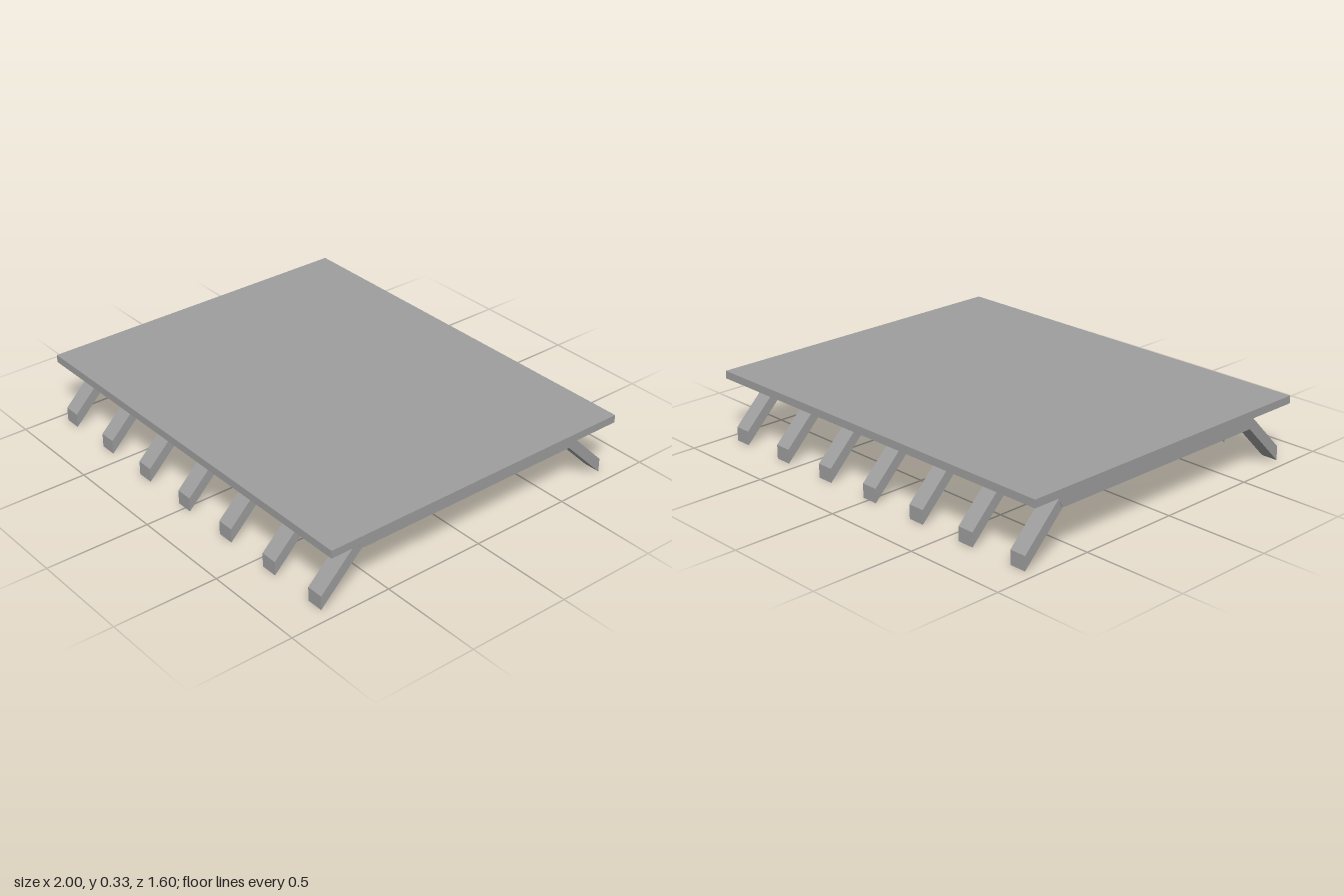
import * as THREE from 'three';

const material = new THREE.MeshStandardMaterial({ color: 0x9e9e9e, flatShading: true });

// Extrudes a (z, y) outline to a given width along x, centred on x = 0
function profileGeometry(points, width) {
  const shape = new THREE.Shape(points.map(([z, y]) => new THREE.Vector2(-z, y)));
  const geometry = new THREE.ExtrudeGeometry(shape, { depth: width, bevelEnabled: false });
  geometry.translate(0, 0, -width / 2);
  geometry.rotateY(Math.PI / 2);
  return geometry;
}

function addMesh(parent, name, geometry) {
  const mesh = new THREE.Mesh(geometry, material);
  mesh.name = name;
  parent.add(mesh);
  return mesh;
}

export function createModel() {
  const model = new THREE.Group();
  model.name = 'slabOnTrestles';

  // Flat top slab
  const slab = addMesh(model, 'topSlab', new THREE.BoxGeometry(2, 0.037, 1.6));
  slab.position.y = 0.3075;

  // Splayed leg, cut vertically at the foot and level under the slab
  const leg = [[0.8, 0], [0.8, 0.067], [0.577, 0.29], [0.51, 0.29]];
  const legFront = profileGeometry(leg, 0.082);
  const legBack = profileGeometry(leg.map(([z, y]) => [-z, y]), 0.082);

  // Cross beam with eased lower corners, slightly wider than the legs
  const end = [[0.58, 0.212], [0.594, 0.216], [0.603, 0.225], [0.607, 0.238], [0.607, 0.265]];
  const beam = profileGeometry(
    [...end, ...end.map(([z, y]) => [-z, y]).reverse()], 0.092);

  // Seven trestles in a row
  for (let i = 0; i < 7; i++) {
    const trestle = new THREE.Group();
    trestle.name = `trestle${i + 1}`;
    trestle.position.x = -0.906 + i * 0.3;
    addMesh(trestle, 'frontLeg', legFront);
    addMesh(trestle, 'backLeg', legBack);
    addMesh(trestle, 'crossBeam', beam);
    model.add(trestle);
  }
  return model;
}
